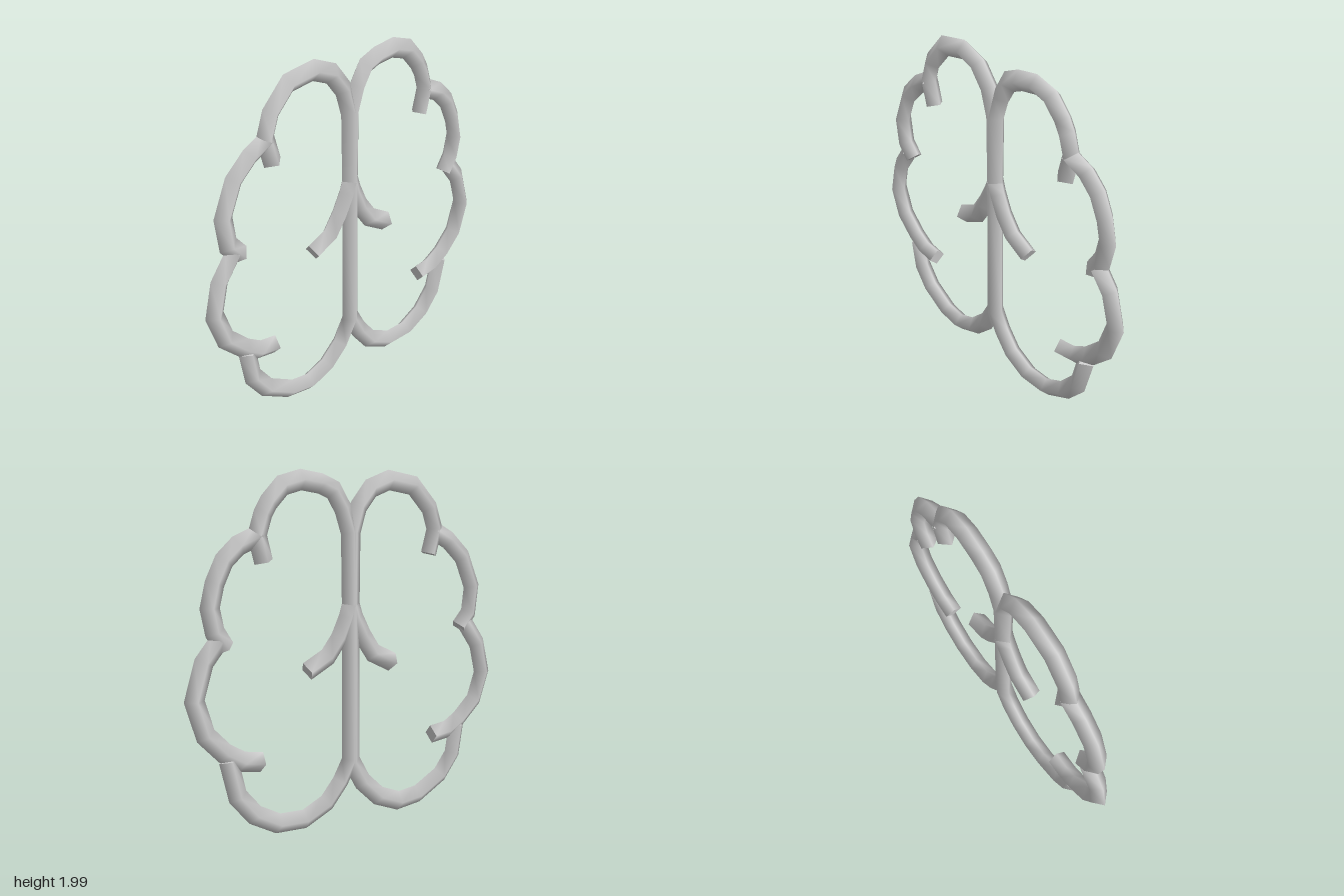
import * as THREE from 'three';

const R = 0.055; // tube radius

// Four-sided mitred tube along a path in the XY plane, smooth sides and capped ends
function diamondTube(path) {
  const pts = path.map(([x, y]) => new THREE.Vector2(x, y));
  const pos = [], index = [], last = pts.length - 1;
  pts.forEach((p, i) => {
    const d0 = pts[Math.max(i, 1)].clone().sub(pts[Math.max(i, 1) - 1]).normalize();
    const k = Math.min(i, last - 1);
    const d1 = pts[k + 1].clone().sub(pts[k]).normalize();
    const t = d0.clone().add(d1).normalize();
    const w = R / Math.max(0.8, t.dot(d1)); // mitre widening
    const nx = -t.y * w, ny = t.x * w;
    pos.push(p.x + nx, p.y + ny, 0, p.x, p.y, R, p.x - nx, p.y - ny, 0, p.x, p.y, -R);
  });
  for (let i = 0; i < last; i++) {
    for (let j = 0; j < 4; j++) {
      const a = i * 4 + j, b = i * 4 + (j + 1) % 4;
      index.push(a, b, a + 4, b, b + 4, a + 4);
    }
  }
  // caps use their own vertices so that their edges stay sharp
  const start = pos.slice(0, 12), end = pos.slice(-12);
  const n = pos.length / 3;
  pos.push(...start, ...end);
  index.push(n, n + 2, n + 1, n, n + 3, n + 2, n + 4, n + 5, n + 6, n + 4, n + 6, n + 7);
  const g = new THREE.BufferGeometry();
  g.setAttribute('position', new THREE.Float32BufferAttribute(pos, 3));
  g.setIndex(index);
  g.computeVertexNormals();
  return g;
}

// Centre lines; the two halves differ slightly
const PATHS = {
  // inward tail, upper lobe, central stem, lower lobe
  leftMainLoop: [[0.535, 1.52], [0.57, 1.66], [0.535, 1.77], [0.5, 1.83], [0.42, 1.915],
    [0.31, 1.945], [0.19, 1.925], [0.11, 1.89], [0.05, 1.79], [0.008, 1.66], [0.003, 1.26],
    [0.005, 0.37], [0.07, 0.25], [0.16, 0.14], [0.305, 0.07], [0.47, 0.075], [0.61, 0.15],
    [0.71, 0.27], [0.76, 0.48]],
  leftMiddleLobe: [[0.56, 1.66], [0.68, 1.61], [0.76, 1.535], [0.815, 1.42], [0.845, 1.295],
    [0.82, 1.17], [0.765, 1.08]],
  leftSideLobe: [[0.8, 1.12], [0.885, 1.015], [0.943, 0.82], [0.885, 0.63], [0.78, 0.52],
    [0.68, 0.46], [0.565, 0.44]],
  leftBranch: [[0, 1.27], [0.025, 1.19], [0.075, 1.08], [0.15, 0.98], [0.28, 0.91]],

  rightMainLoop: [[-0.53, 1.525], [-0.57, 1.67], [-0.53, 1.79], [-0.415, 1.915], [-0.25, 1.945],
    [-0.13, 1.9], [-0.05, 1.8], [-0.008, 1.66], [-0.003, 1.26], [-0.005, 0.36], [-0.08, 0.225],
    [-0.19, 0.12], [-0.33, 0.066], [-0.47, 0.085], [-0.635, 0.18], [-0.725, 0.3], [-0.755, 0.48]],
  rightMiddleLobe: [[-0.56, 1.66], [-0.67, 1.6], [-0.775, 1.5], [-0.85, 1.32], [-0.83, 1.16],
    [-0.76, 1.08]],
  rightSideLobe: [[-0.8, 1.11], [-0.9, 0.97], [-0.943, 0.79], [-0.885, 0.62], [-0.77, 0.51],
    [-0.68, 0.455], [-0.567, 0.44]],
  rightBranch: [[0, 1.27], [-0.025, 1.19], [-0.08, 1.08], [-0.15, 0.975], [-0.28, 0.91]],
};

export function createModel() {
  const group = new THREE.Group();
  group.name = 'brainOutline';
  const grey = new THREE.MeshStandardMaterial({ color: 0xcccccc });
  grey.name = 'light grey';
  for (const [name, path] of Object.entries(PATHS)) {
    const mesh = new THREE.Mesh(diamondTube(path), grey);
    mesh.name = name;
    group.add(mesh);
  }
  return group;
}
